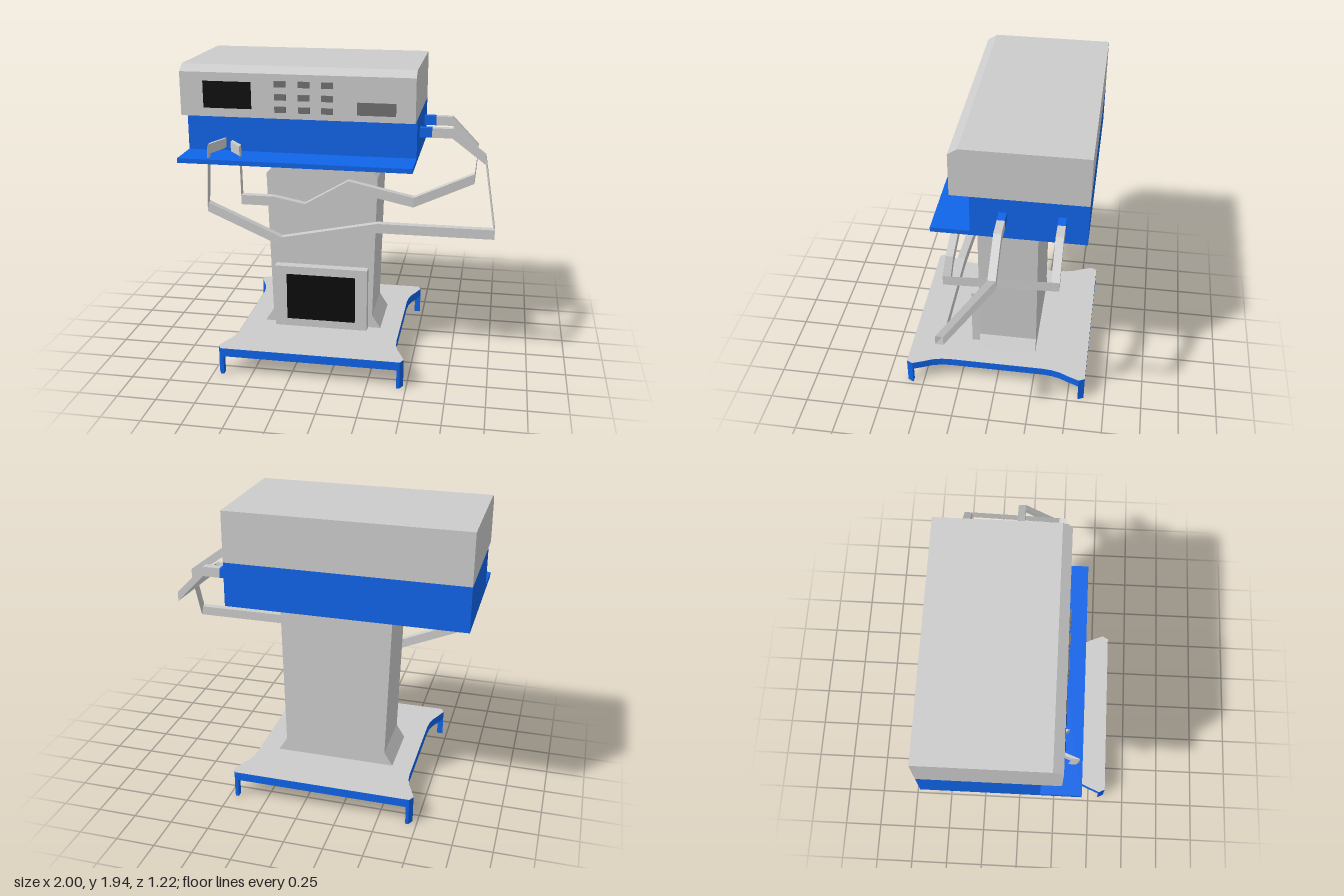
import * as THREE from 'three';

const paint = (color) => new THREE.MeshStandardMaterial({ color, flatShading: true, side: THREE.DoubleSide });

export function createModel() {
  const grey = paint(0xcccccc), blue = paint(0x1064e8), dark = paint(0x707070), black = paint(0x0c0c0c);
  const root = new THREE.Group();

  const add = (name, geometry, material, parent = root) => {
    const mesh = new THREE.Mesh(geometry, material);
    mesh.name = name;
    parent.add(mesh);
    return mesh;
  };
  // box given by its lower and upper limits on each axis
  const box = (name, material, [x0, x1], [y0, y1], [z0, z1], parent) =>
    add(name, new THREE.BoxGeometry(x1 - x0, y1 - y0, z1 - z0), material, parent)
      .position.set((x0 + x1) / 2, (y0 + y1) / 2, (z0 + z1) / 2);
  const outline = (points) => new THREE.Shape(points.map(([a, b]) => new THREE.Vector2(a, b)));
  const extrude = (points, depth) =>
    new THREE.ExtrudeGeometry(outline(points), { depth, bevelEnabled: false });

  // Square hose: upright sections (constant x) joined along a path
  const hose = (name, path, material, parent) => {
    const hy = 0.031, hz = 0.024, pos = [], index = [];
    for (const [x, y, z] of path)
      for (const [sy, sz] of [[-1, -1], [-1, 1], [1, 1], [1, -1]]) pos.push(x, y + sy * hy, z + sz * hz);
    // paths run towards -x, so the sides wind accordingly
    for (let i = 0; i < path.length - 1; i++)
      for (let k = 0; k < 4; k++) {
        const a = i * 4 + k, b = i * 4 + (k + 1) % 4;
        index.push(a, b, b + 4, a, b + 4, a + 4);
      }
    const e = (path.length - 1) * 4;
    index.push(0, 2, 1, 0, 3, 2, e, e + 1, e + 2, e, e + 2, e + 3);
    const g = new THREE.BufferGeometry();
    g.setAttribute('position', new THREE.Float32BufferAttribute(pos, 3));
    g.setIndex(index);
    const flat = g.toNonIndexed();
    flat.computeVertexNormals();
    return add(name, flat, material, parent);
  };

  // Base plate with concave sides, grey top and corner legs
  const base = new THREE.Group();
  base.name = 'base';
  base.position.x = -0.12;
  root.add(base);
  const side = [[0.58, 0.61], [0.6, 0.57], [0.57, 0.495], [0.545, 0.44], [0.53, 0.38], [0.525, 0.32]];
  const right = [...side, ...side.map(([x, z]) => [x, -z]).reverse()];
  const plan = [...right, ...right.map(([x, z]) => [-x, z]).reverse()];
  add('basePlate', extrude(plan, 0.055).rotateX(-Math.PI / 2), blue, base).position.y = 0.125;
  add('baseTop', new THREE.ShapeGeometry(outline(plan)).rotateX(-Math.PI / 2), grey, base).position.y = 0.1815;
  for (const sx of [-1, 1])
    for (const sz of [-1, 1]) {
      const foot = [[0.6, 0.57], [0.58, 0.61], [0.56, 0.61], [0.56, 0.57]].map(([x, z]) => [x * sx, z * sz]);
      add('leg', extrude(foot, 0.13).rotateX(-Math.PI / 2), blue, base);
    }

  // Column flared at the foot and narrowed at the top
  const half = [[0.395, 0.18], [0.338, 0.27], [0.365, 1.23], [0.25, 1.345]];
  const column = [...half, ...half.map(([x, y]) => [-x, y]).reverse()];
  add('column', extrude(column, 0.39), grey).position.set(-0.12, 0, -0.25);

  // Lower display on the column
  box('lowerPanel', grey, [-0.43, 0.19], [0.18, 0.61], [0.14, 0.2]);
  box('lowerScreen', black, [-0.35, 0.11], [0.235, 0.555], [0.19, 0.203]);

  // Head: blue body with shelf, grey console with a chamfered front edge
  box('headBody', blue, [-1, 0.49], [1.34, 1.62], [-0.57, 0.14]);
  box('shelf', blue, [-1, 0.49], [1.34, 1.37], [0.14, 0.385]);
  const profile = [[-0.26, 1.62], [0.57, 1.62], [0.57, 1.94], [-0.2, 1.94], [-0.26, 1.9]];
  add('console', extrude(profile, 1.49).rotateY(Math.PI / 2), grey).position.x = -1;

  // Console screen, keypad and slot
  box('screen', black, [-0.85, -0.54], [1.675, 1.845], [0.25, 0.264]);
  box('slot', dark, [0.13, 0.37], [1.66, 1.74], [0.25, 0.264]);
  const keypad = new THREE.Group();
  keypad.name = 'keypad';
  root.add(keypad);
  for (const x of [-0.39, -0.24, -0.093])
    for (const y of [1.66, 1.738, 1.82])
      box('key', dark, [x, x + 0.073], [y, y + 0.038], [0.25, 0.272], keypad);

  // Hoses: a blue port on the side, a loop round the front, a probe resting over the shelf
  const hoses = [
    { port: -0.06, path: [[0.7, 1.497, -0.06], [0.92, 1.332, -0.06], [1, 0.935, 0.242], [0.26, 0.935, 0.245],
      [-0.36, 0.81, 0.255], [-0.85, 1.022, 0.25], [-0.8, 1.432, 0.342], [-0.74, 1.432, 0.185]] },
    { port: -0.415, path: [[0.68, 1.497, -0.415], [0.86, 1.31, -0.415], [0.86, 1.282, 0.21], [0.49, 1.128, 0.272],
      [0.08, 1.218, 0.28], [-0.2, 1.053, 0.28], [-0.4, 1.092, 0.28], [-0.612, 1.092, 0.28],
      [-0.617, 1.41, 0.276], [-0.705, 1.41, 0.165]] },
  ];
  for (const { port, path } of hoses) {
    const group = new THREE.Group();
    group.name = 'probeHose';
    root.add(group);
    hose('port', [[0.57, 1.497, port], [0.485, 1.497, port]], blue, group);
    // the first stretch runs outwards, the rest runs back across the front
    hose('hoseOutlet', path.slice(0, 2).reverse().concat([[0.57, 1.497, port]]), grey, group);
    hose('hoseLoop', path.slice(1, -1), grey, group);
    hose('probe', path.slice(-2), grey, group);
  }
  return root;
}
